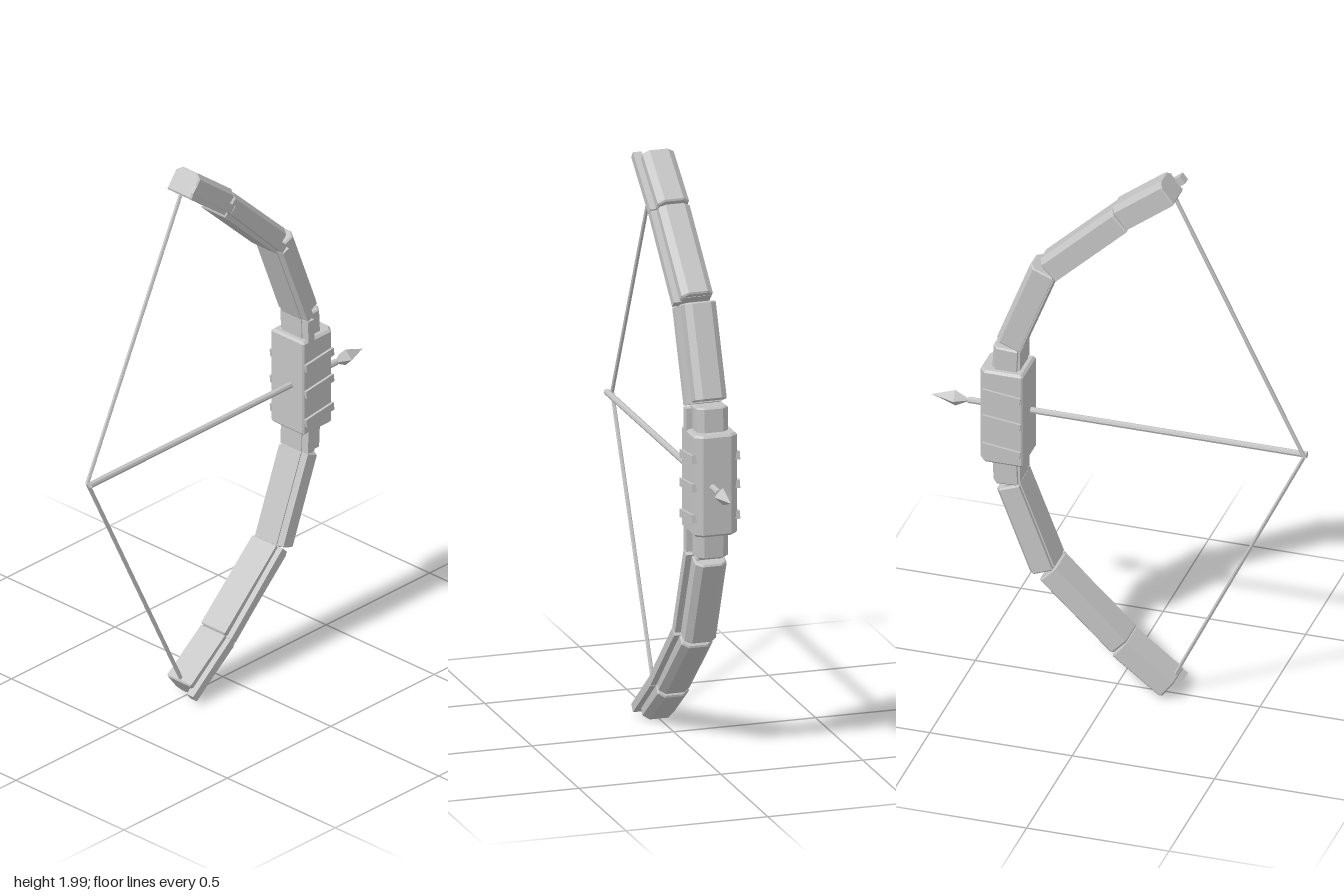
import * as THREE from 'three';

const gray = new THREE.MeshStandardMaterial({ color: 0xc4c4c4, flatShading: true });
gray.name = 'plain gray';

function mesh(name, geometry) {
  const m = new THREE.Mesh(geometry, gray);
  m.name = name;
  return m;
}

// Bar from a to b; the section spans u0..u1 outward (left of travel) and z0..z1,
// with cut corners on the outer side (c) and the inner side (ci).
function bar(name, a, b, u0, u1, z0, z1, c = 0, ci = 0, bevel = 0) {
  const s = new THREE.Shape();
  const cz = c * 1.3;
  const pts = [[u0 + ci, z0], [u1 - c, z0], [u1, z0 + cz], [u1, z1 - cz],
    [u1 - c, z1], [u0 + ci, z1], [u0, z1 - ci], [u0, z0 + ci]];
  const unique = pts.filter((p, i) => {
    const q = pts[(i + 7) % 8];
    return Math.hypot(p[0] - q[0], p[1] - q[1]) > 1e-6;
  });
  s.setFromPoints(unique.map(p => new THREE.Vector2(...p)));
  const d = new THREE.Vector3(b[0] - a[0], b[1] - a[1], 0);
  const length = d.length();
  d.normalize();
  const g = new THREE.ExtrudeGeometry(s, {
    depth: length - 2 * bevel, bevelEnabled: bevel > 0, bevelSegments: 1,
    bevelSize: bevel, bevelThickness: bevel, bevelOffset: -bevel,
  });
  g.translate(0, 0, bevel);
  const basis = new THREE.Matrix4().makeBasis(
    new THREE.Vector3(-d.y, d.x, 0), new THREE.Vector3(0, 0, 1), d);
  g.applyMatrix4(basis).translate(a[0], a[1], 0);
  return mesh(name, g);
}

// Round rod between two points
function rod(name, a, b, r, sides) {
  const p = new THREE.Vector3(...a), q = new THREE.Vector3(...b);
  const d = q.clone().sub(p);
  const m = mesh(name, new THREE.CylinderGeometry(r, r, d.length(), sides));
  m.position.copy(p).add(q).multiplyScalar(0.5);
  m.quaternion.setFromUnitVectors(new THREE.Vector3(0, 1, 0), d.normalize());
  return m;
}

export function createModel() {
  const bow = new THREE.Group();
  bow.name = 'bow';

  // Outer edges of the limb plates, from the tip to the grip
  const plates = [
    [[-0.16, 2.0], [0.01, 1.87]],
    [[0.012, 1.86], [0.265, 1.62]],
    [[0.295, 1.6], [0.415, 1.29]],
    [[0.425, 1.265], [0.43, 1.16]],
  ];
  // Inner edge line, shared by the core and the front rail
  const spine = [[-0.228, 1.952], [-0.045, 1.805], [0.205, 1.557], [0.325, 1.25], [0.33, 1.0]];

  for (const upper of [true, false]) {
    const limb = new THREE.Group();
    limb.name = upper ? 'upperLimb' : 'lowerLimb';
    const place = ([a, b]) => upper ? [a, b] : [[b[0], 2 - b[1]], [a[0], 2 - a[1]]];

    plates.forEach((p, i) => {
      const [a, b] = place(p);
      limb.add(bar('limbPlate' + (i + 1), a, b, -0.09, 0, -0.055, 0.055, 0.017, 0, 0.005));
    });
    for (let i = 0; i < spine.length - 1; i++) {
      const [a, b] = place([spine[i], spine[i + 1]]);
      limb.add(bar('frontRail', a, b, 0.008, 0.038, 0.045, 0.076));
      // Core that bridges the gaps between plates
      if (i > 0) limb.add(bar('limbCore', a, b, 0.004, 0.065, -0.042, 0.048));
    }
    bow.add(limb);

    // String half
    const tipY = upper ? 1.935 : 0.065;
    bow.add(rod('bowString', [-0.197, tipY, 0], [-0.655, 1, 0], 0.007, 6));
  }

  // Grip with slanted ribs on both sides
  const grip = new THREE.Group();
  grip.name = 'grip';
  grip.add(bar('gripBlock', [0.465, 1.18], [0.465, 0.825], -0.155, 0, -0.076, 0.076, 0.02, 0.006, 0.008));
  for (const y of [1.09, 0.99, 0.882]) {
    for (const side of [-1, 1]) {
      const rib = mesh('gripRib', new THREE.BoxGeometry(0.134, 0.028, 0.018));
      rib.position.set(0.383, y, side * 0.076);
      rib.rotation.z = 0.12;
      grip.add(rib);
    }
  }
  bow.add(grip);

  // Arrow with a four-sided double-pointed head
  const arrow = new THREE.Group();
  arrow.name = 'arrow';
  arrow.add(rod('arrowShaft', [-0.66, 1, 0.017], [0.53, 1, 0.017], 0.011, 8));
  const profile = [[0, 0], [0.03, 0.055], [0, 0.138]].map(p => new THREE.Vector2(...p));
  const head = mesh('arrowHead', new THREE.LatheGeometry(profile, 4));
  head.rotation.z = -Math.PI / 2;
  head.position.set(0.52, 1, 0.017);
  arrow.add(head);
  bow.add(arrow);

  return bow;
}
